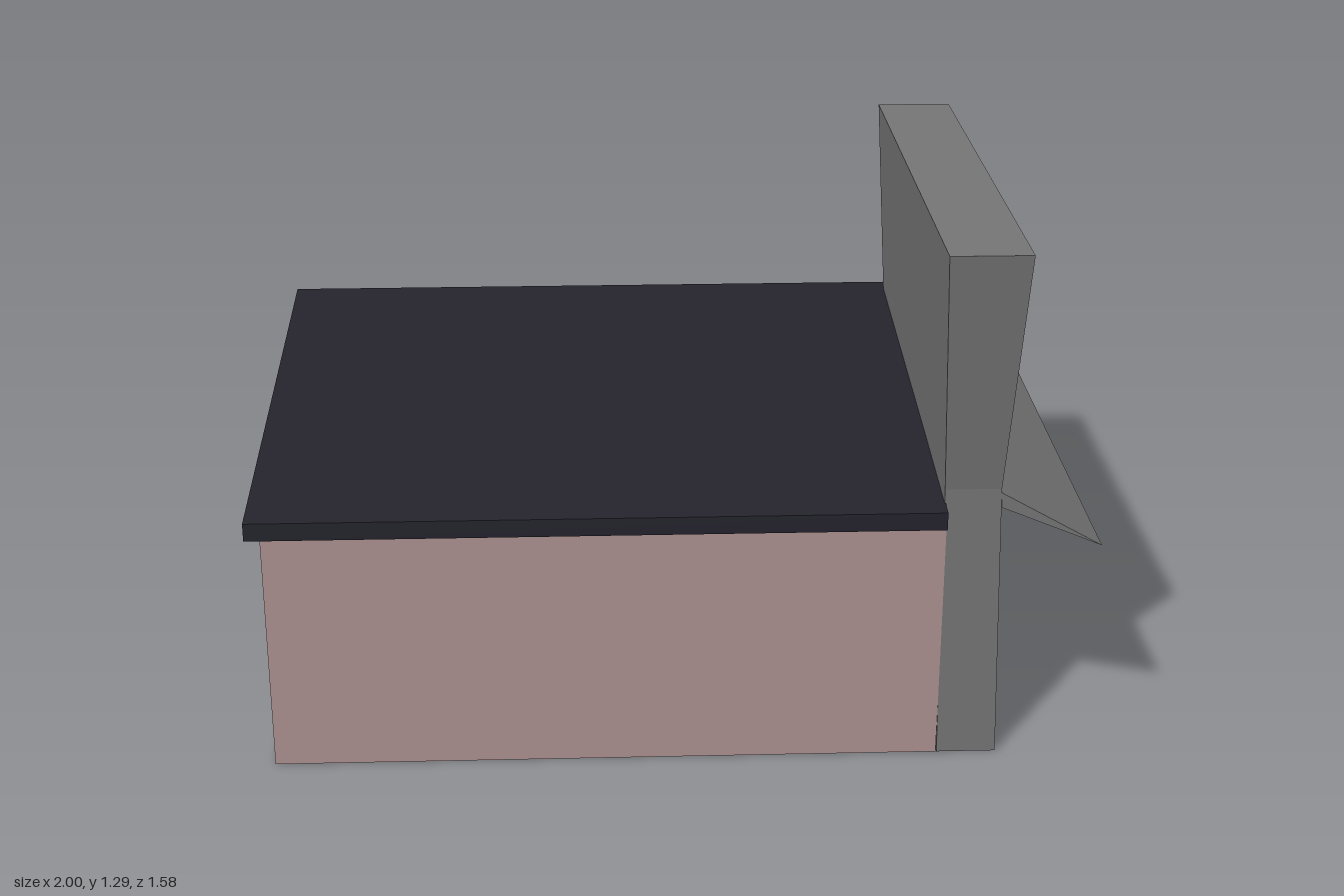
import * as THREE from 'three';

const mat = (color) => new THREE.MeshStandardMaterial({ color, flatShading: true, side: THREE.DoubleSide });
const WALL = mat(0xb09393), ROOF = mat(0x25242d), STONE = mat(0x777777), GLASS = mat(0xb0c8c8);

// Mesh from four-cornered faces
function fromQuads(name, quads, material) {
  const pos = quads.flatMap(([a, b, c, d]) => [a, b, c, a, c, d].flat());
  const g = new THREE.BufferGeometry();
  g.setAttribute('position', new THREE.Float32BufferAttribute(pos, 3));
  g.computeVertexNormals();
  const mesh = new THREE.Mesh(g, material);
  mesh.name = name;
  return mesh;
}

// Closed solid through four-cornered rings, listed from bottom to top
function loft(name, rings, material) {
  const last = rings[rings.length - 1];
  const quads = [[...rings[0]].reverse(), last];
  for (let r = 0; r + 1 < rings.length; r++) {
    for (let i = 0; i < 4; i++) {
      const j = (i + 1) % 4;
      quads.push([rings[r][i], rings[r][j], rings[r + 1][j], rings[r + 1][i]]);
    }
  }
  return fromQuads(name, quads, material);
}

// Horizontal rectangle at height y
const ring = (y, x0, x1, z0, z1) => [[x0, y, z1], [x1, y, z1], [x1, y, z0], [x0, y, z0]];

// Prism with an x-y outline running from z0 to z1
function prism(name, outline, z0, z1, material) {
  const shape = new THREE.Shape(outline.map(([x, y]) => new THREE.Vector2(x, y)));
  const g = new THREE.ExtrudeGeometry(shape, { depth: z1 - z0, bevelEnabled: false });
  g.translate(0, 0, z0);
  const mesh = new THREE.Mesh(g, material);
  mesh.name = name;
  return mesh;
}

// Entrance tower limits at height y: waisted at 0.7, flaring above
const WAIST = 0.7, TOP = 1.295, HEAD = 1.09, MID = 0.148;
function tower(y) {
  const t = Math.max(0, (y - WAIST) / (TOP - WAIST)), s = Math.min(1, y / WAIST);
  return {
    back: 0.632 - 0.01 * s - 0.027 * t,
    front: 0.775 - 0.02 * s + 0.03 * t,
    outer: 0.572 + 0.07 * t, // half widths about MID
    inner: 0.366 + 0.016 * y / HEAD,
  };
}

export function createModel() {
  const group = new THREE.Group();

  // Hollow house walls, open underneath, with the back annex joined on
  const xl = -0.97, xa = -0.09, xr = 0.63, zf = 0.72, zb = -0.425, za = -0.79, ya = 0.583;
  const yf = 0.635, yb = 0.755;
  group.add(fromQuads('houseWalls', [
    [[xl, 0, zf], [xr, 0, zf], [xr, yf, zf], [xl, yf, zf]],
    [[xr, 0, zf], [xr, 0, zb], [xr, yb, zb], [xr, yf, zf]],
    [[xl, 0, zb], [xl, 0, zf], [xl, yf, zf], [xl, yb, zb]],
    [[xr, 0, zb], [xa, 0, zb], [xa, yb, zb], [xr, yb, zb]],
    [[xa, ya, zb], [xl, ya, zb], [xl, yb, zb], [xa, yb, zb]],
  ], WALL));
  group.add(fromQuads('annex', [
    [[xa, 0, za], [xl, 0, za], [xl, ya, za], [xa, ya, za]],
    [[xa, 0, zb], [xa, 0, za], [xa, ya, za], [xa, ya, zb]],
    [[xl, 0, za], [xl, 0, zb], [xl, ya, zb], [xl, ya, za]],
    [[xl, ya, zb], [xa, ya, zb], [xa, ya, za], [xl, ya, za]],
  ], WALL));

  // Sloping roof slab
  const slab = (y) => [[-1, y, 0.765], [0.625, y, 0.765], [0.625, y + 0.132, -0.475], [-1, y + 0.132, -0.475]];
  group.add(loft('roof', [slab(0.617), slab(0.661)], ROOF));

  // Entrance tower: two pillars, header and closed back
  for (const side of [1, -1]) {
    const rings = [0, WAIST, HEAD].map((y) => {
      const t = tower(y), a = MID + side * t.inner, b = MID + side * t.outer;
      return ring(y, t.back, t.front, Math.min(a, b), Math.max(a, b));
    });
    group.add(loft(side > 0 ? 'leftPillar' : 'rightPillar', rings, STONE));
  }
  group.add(loft('header', [HEAD, TOP].map((y) => {
    const t = tower(y);
    return ring(y, t.back, t.front, MID - t.outer, MID + t.outer);
  }), STONE));
  group.add(loft('towerBack', [0.62, WAIST, HEAD].map((y) => {
    const t = tower(y);
    return ring(y, t.back, 0.66, MID - t.inner, MID + t.inner);
  }), STONE));

  // Recessed glazing
  const lo = tower(0).inner, hi = tower(HEAD).inner, gx = 0.672;
  group.add(fromQuads('glazing', [
    [[gx, 0, MID + lo], [gx, 0, MID - lo], [gx, HEAD, MID - hi], [gx, HEAD, MID + hi]],
  ], GLASS));

  // Wedge canopy, its root reaching back to the glass
  group.add(prism('canopy', [[0.755, 0.69], [0.757, 0.652], [1, 0.55]], MID - 0.572, MID + 0.572, STONE));
  group.add(prism('canopyRoot', [[gx, 0.74], [gx, 0.688], [0.757, 0.652], [0.755, 0.69]],
    MID - 0.376, MID + 0.376, STONE));

  // Tilted bars across the door
  for (const y of [0.095, 0.237]) {
    group.add(prism('doorBar', [[gx, y + 0.024], [0.77, y], [0.77, y + 0.048], [gx, y + 0.072]],
      -0.185, 0.185, ROOF));
  }
  return group;
}
